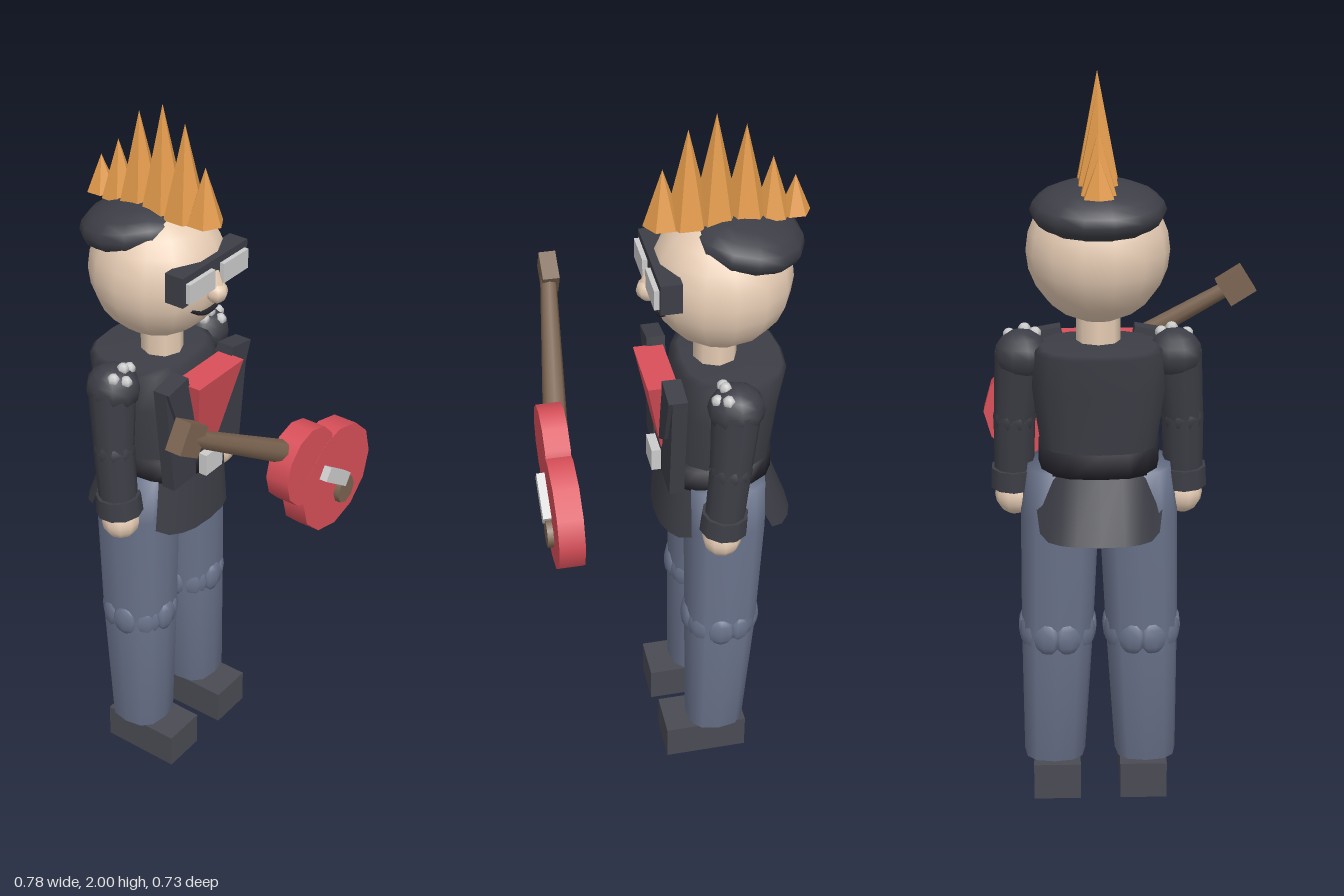
import * as THREE from 'three';

const paint = (color, extra = {}) => new THREE.MeshStandardMaterial({ color, ...extra });

export function createModel() {
  const skin = paint(0xe6ccb4), dark = paint(0x3d3e46), cloth = paint(0x3d3e46, { side: THREE.DoubleSide });
  const jeans = paint(0x69728a), red = paint(0xd84f59), gold = paint(0xe0994a, { flatShading: true });
  const wood = paint(0x7a6350), white = paint(0xd8dada), black = paint(0x24242c);
  const shoeMat = paint(0x4a4b53);
  const model = new THREE.Group();

  function add(name, geo, mat, x = 0, y = 0, z = 0, parent = figure) {
    const m = new THREE.Mesh(geo, mat);
    m.name = name;
    m.position.set(x, y, z);
    parent.add(m);
    return m;
  }
  const box = (w, h, d) => new THREE.BoxGeometry(w, h, d);
  const ball = (r, w = 10, h = 8) => new THREE.SphereGeometry(r, w, h);

  // Tapered rod between two points
  function rod(name, a, b, ra, rb, mat, sides = 10, parent = figure) {
    const A = new THREE.Vector3(...a), B = new THREE.Vector3(...b), d = B.clone().sub(A);
    const m = add(name, new THREE.CylinderGeometry(rb, ra, d.length(), sides), mat, 0, 0, 0, parent);
    m.position.copy(A).add(B).multiplyScalar(0.5);
    m.quaternion.setFromUnitVectors(new THREE.Vector3(0, 1, 0), d.normalize());
    return m;
  }

  // Skin of rounded-square rings [y, halfX, zBack, zFront]; drop(angle) lowers the first ring
  function rings(list, sides = 16, capped = true, drop = () => 0) {
    const pos = [], idx = [];
    const sq = v => Math.sign(v) * Math.abs(v) ** 0.75;
    list.forEach(([y, hx, zb, zf], k) => {
      for (let i = 0; i < sides; i++) {
        const a = (i / sides) * Math.PI * 2;
        pos.push(hx * sq(Math.sin(a)), y - (k ? 0 : drop(a)), (zb + zf) / 2 + (zf - zb) / 2 * sq(Math.cos(a)));
      }
    });
    for (let k = 0; k < list.length - 1; k++) for (let i = 0; i < sides; i++) {
      const a = k * sides + i, b = k * sides + (i + 1) % sides;
      idx.push(a, b, b + sides, a, b + sides, a + sides);
    }
    if (capped) [0, list.length - 1].forEach((k, end) => {
      const c = pos.length / 3, [y, , zb, zf] = list[k];
      pos.push(0, y, (zb + zf) / 2);
      for (let i = 0; i < sides; i++) {
        const a = k * sides + i, b = k * sides + (i + 1) % sides;
        idx.push(...(end ? [a, b, c] : [b, a, c]));
      }
    });
    const g = new THREE.BufferGeometry();
    g.setAttribute('position', new THREE.Float32BufferAttribute(pos, 3));
    g.setIndex(idx);
    g.computeVertexNormals();
    return g;
  }

  const figure = new THREE.Group();
  figure.name = 'figure';
  figure.position.x = 0.06;
  model.add(figure);

  // Head, hair and face
  add('head', ball(0.185, 14, 12), skin, 0, 1.55, -0.14);
  const hair = add('hairCap', ball(1, 14, 10), dark, 0, 1.665, -0.195);
  hair.scale.set(0.173, 0.07, 0.155);
  hair.rotation.x = -0.15;
  [[0.01, 0.15, 0.05], [-0.053, 0.25, 0.06], [-0.122, 0.285, 0.0625], [-0.196, 0.25, 0.06],
    [-0.265, 0.157, 0.05], [-0.323, 0.1, 0.042]].forEach(([z, h, r]) =>
    add('hairSpike', new THREE.ConeGeometry(r, h, 6), gold, 0, 1.715 + h / 2, z));
  add('glassesFrame', box(0.28, 0.083, 0.056), dark, 0, 1.583, 0.016);
  for (const s of [-1, 1]) add('lens', box(0.108, 0.055, 0.014), white, s * 0.073, 1.578, 0.05);
  add('noseTip', ball(0.031, 8, 6), skin, 0, 1.532, 0.047);
  rod('noseBridge', [0, 1.54, 0.05], [0, 1.59, 0.046], 0.022, 0.008, skin, 6);
  const smile = new THREE.CatmullRomCurve3([[-0.065, 1.495, 0.012], [-0.03, 1.475, 0.024],
    [0.03, 1.475, 0.024], [0.065, 1.495, 0.012]].map(p => new THREE.Vector3(...p)));
  add('mouth', new THREE.TubeGeometry(smile, 10, 0.008, 6), black);
  add('neck', new THREE.CylinderGeometry(0.058, 0.058, 0.15, 8), skin, 0, 1.345, -0.13);

  // Jacket body, belt and tails
  add('jacketBody', rings([[0.98, 0.15, -0.265, -0.01], [1.04, 0.155, -0.275, -0.01], [1.2, 0.178, -0.29, -0.01],
    [1.3, 0.168, -0.31, -0.02], [1.31, 0.15, -0.3, -0.04]]), dark);
  add('belt', rings([[0.975, 0.16, -0.28, 0.025], [1.04, 0.16, -0.28, 0.025]]), black);
  add('buckle', box(0.075, 0.065, 0.025), white, 0, 1.01, 0.034);
  const tail = a => 0.13 * Math.min(1, Math.max(0, (Math.abs(Math.cos(a)) - 0.2) * 3));
  add('jacketTails', rings([[0.94, 0.175, -0.34, 0.035], [0.98, 0.155, -0.275, 0.025]], 24, false, tail), cloth);

  // Shirt front
  const shirt = new THREE.Shape([[-0.1, 1.29], [-0.045, 1.06], [0.045, 1.06], [0.1, 1.29]]
    .map(p => new THREE.Vector2(...p)));
  const shirtGeo = new THREE.ExtrudeGeometry(shirt, { depth: 0.08, bevelEnabled: false });
  const sp = shirtGeo.attributes.position;
  for (let i = 0; i < sp.count; i++)
    if (sp.getZ(i) > 0.05 && sp.getY(i) < 1.1) sp.setZ(i, 0.035);
  shirtGeo.computeVertexNormals();
  add('shirt', shirtGeo, red, 0, 0, -0.012);

  // Open jacket fronts with a raised lapel
  for (const s of [-1, 1]) {
    const slab = (pts, depth) => new THREE.ExtrudeGeometry(
      new THREE.Shape(pts.map(([x, y]) => new THREE.Vector2(s * x, y))), { depth, bevelEnabled: false });
    add('jacketFront', slab([[0.185, 1.3], [0.1, 1.315], [0.065, 1.15], [0.05, 0.98], [0.15, 0.98]], 0.04), dark, 0, 0, -0.018);
    add('lapel', slab([[0.185, 1.3], [0.1, 1.315], [0.06, 1.1], [0.13, 1.15]], 0.012), dark, 0, 0, 0.02);

    // Arm with studded shoulder
    const shoulder = add('shoulder', ball(0.075), dark, s * 0.2, 1.275, -0.14);
    shoulder.scale.set(0.95, 0.9, 1);
    rod('upperArm', [s * 0.205, 1.28, -0.14], [s * 0.222, 1.1, -0.125], 0.065, 0.055, dark);
    add('elbow', ball(0.057), dark, s * 0.222, 1.1, -0.125);
    rod('forearm', [s * 0.222, 1.1, -0.125], [s * 0.226, 0.93, -0.11], 0.056, 0.053, dark);
    rod('cuff', [s * 0.226, 0.96, -0.112], [s * 0.226, 0.905, -0.108], 0.062, 0.065, dark);
    const hand = add('hand', ball(0.053), skin, s * 0.226, 0.878, -0.105);
    hand.scale.y = 1.05;
    for (const [x, y, z] of [[0.232, 1.322, -0.112], [0.192, 1.336, -0.112], [0.165, 1.325, -0.112], [0.21, 1.313, -0.088]])
      add('stud', ball(0.017, 6, 5), white, s * x, y, z);

    // Trouser leg, knee pads and shoe
    const leg = rings([[0.115, 0.085, -0.2, -0.035], [0.5, 0.098, -0.232, -0.032], [0.85, 0.105, -0.25, -0.03],
      [0.98, 0.09, -0.25, -0.03]], 12);
    leg.translate(s * 0.115, 0, 0);
    const lp = leg.attributes.position;
    for (let i = 0; i < lp.count; i++) lp.setX(i, lp.getX(i) + s * 0.012 * (0.5 - lp.getY(i)) / 0.4);
    leg.computeVertexNormals();
    add('trouserLeg', leg, jeans);
    for (let i = 0; i < 9; i++) {
      const a = (i / 9) * Math.PI * 2;
      const pad = add('kneePad', ball(1, 8, 6), jeans, s * 0.115 + 0.087 * Math.sin(a), 0.5, -0.132 + 0.09 * Math.cos(a));
      pad.scale.set(0.042, 0.05, 0.022);
      pad.rotation.y = a;
    }
    add('shoe', box(0.13, 0.105, 0.235), shoeMat, s * 0.12, 0.0525, -0.085);
  }

  // Guitar
  const guitar = new THREE.Group();
  guitar.name = 'guitar';
  model.add(guitar);
  const disc = (name, r, d, mat, x, y, z, sides = 12) => {
    const g = new THREE.CylinderGeometry(r, r, d, sides).rotateX(Math.PI / 2);
    return add(name, g, mat, x, y, z, guitar);
  };
  disc('lowerBody', 0.165, 0.068, red, 0.22, 0.988, 0.309).scale.y = 0.93;
  disc('upperBody', 0.112, 0.067, red, 0.085, 1.095, 0.309);
  disc('knob', 0.04, 0.018, wood, 0.247, 0.937, 0.35, 8);
  rod('guitarNeck', [0.1, 1.11, 0.302], [-0.32, 1.36, 0.248], 0.034, 0.022, wood, 8, guitar);
  add('headstock', box(0.083, 0.083, 0.046), wood, -0.333, 1.365, 0.245, guitar).rotation.z = -0.56;
  add('bridge', box(0.125, 0.04, 0.022), white, 0.193, 1.01, 0.354, guitar).rotation.z = -0.6;

  return model;
}
